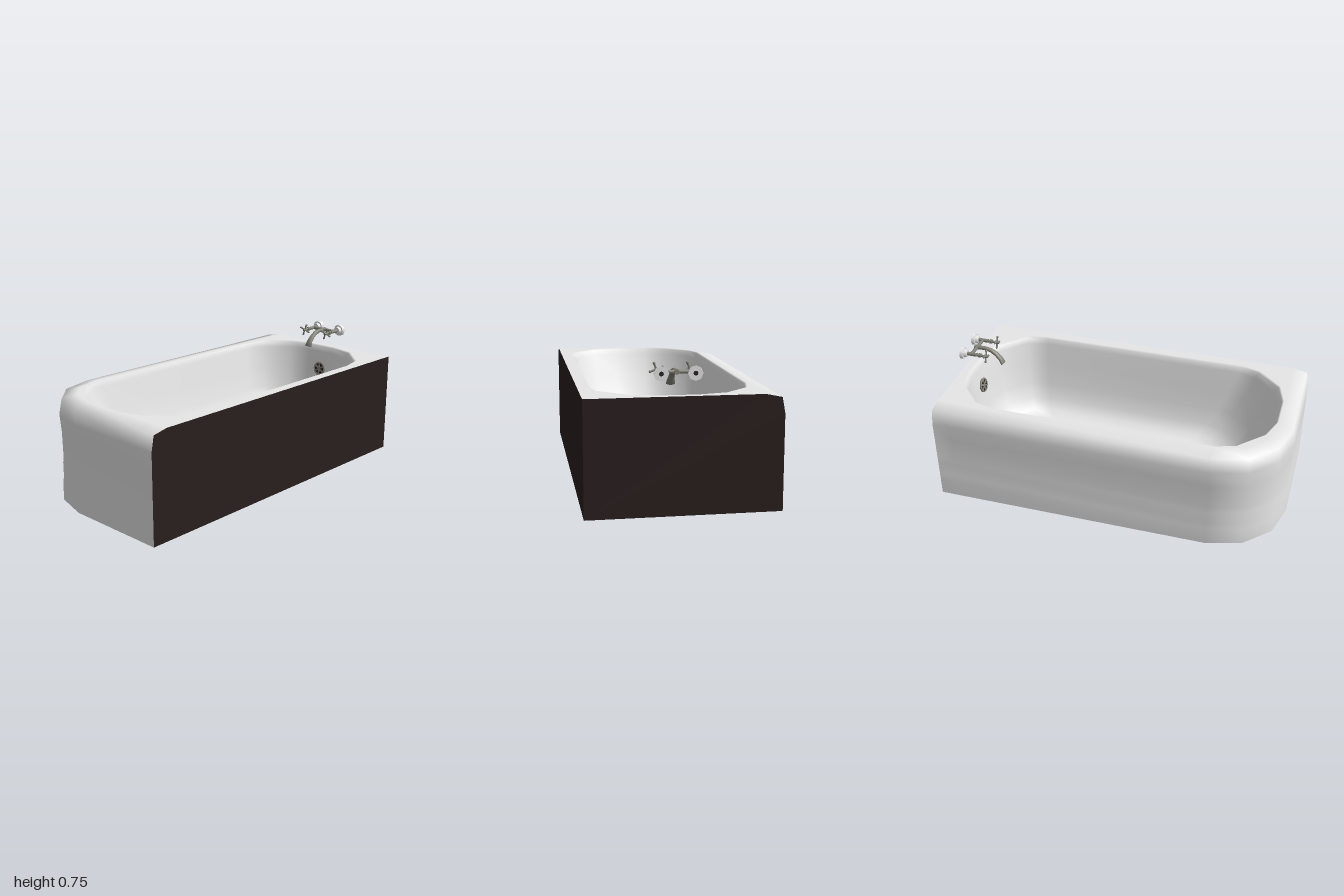
import * as THREE from 'three';

const mat = (name, color, side = THREE.FrontSide) =>
  Object.assign(new THREE.MeshStandardMaterial({ color, side }), { name });

// Smooth skin through rows of [x, y, z] points
function skin(rows, closed) {
  const n = rows[0].length, index = [];
  for (let r = 0; r < rows.length - 1; r++) {
    for (let i = 0; i < (closed ? n : n - 1); i++) {
      const a = r * n + i, b = r * n + (i + 1) % n;
      index.push(a, b, a + n, b, b + n, a + n);
    }
  }
  const g = new THREE.BufferGeometry();
  g.setAttribute('position', new THREE.Float32BufferAttribute(rows.flat(2), 3));
  g.setIndex(index);
  g.computeVertexNormals();
  return g;
}

// Make one row of a skin blend into the flat rim
function levelRow(g, row, n) {
  for (let i = 0; i < n; i++) g.attributes.normal.setXYZ(row * n + i, 0, 1, 0);
  return g;
}

const flat = (pts) => new THREE.Shape(pts.map(([x, y]) => new THREE.Vector2(x, y)));

export function createModel() {
  const model = new THREE.Group();
  const enamel = mat('white enamel', 0xf0f0f0, THREE.DoubleSide);
  const dark = mat('dark underside', 0x291f1e);
  const metal = mat('aged metal', 0x85857b, THREE.DoubleSide);
  const add = (name, geometry, material, parent = model) => {
    const m = new THREE.Mesh(geometry, material);
    m.name = name;
    parent.add(m);
    return m;
  };

  // Outer plan of the apron: x, z, outward normal, amount of recess
  const plan = [
    [1, -0.5, 0, -1, 0], [0.9, -0.5, 0, -1, 1], [-0.6, -0.5, 0, -1, 1],
    [-0.8, -0.445, -0.38, -0.92, 1], [-0.945, -0.3, -0.86, -0.5, 1],
    [-1, -0.1, -1, 0, 1], [-1, 0.4, -1, 0, 1], [-1, 0.5, -1, 0, 0],
  ];
  // Apron profile: y, inset, recess
  const profile = [
    [0, 0, 0], [0.1, 0, 0], [0.14, 0, 0.006], [0.22, 0, 0.006], [0.26, 0, 0.01], [0.4, 0, 0.008],
    [0.5, 0, 0], [0.583, 0.016, 0], [0.6, 0.1, 0],
  ];
  const rows = profile.map(([y, inset, recess]) => plan.map(([x, z, nx, nz, k]) =>
    [x - nx * (inset + recess * k), y, z - nz * (inset + recess * k)]));
  add('apron', levelRow(skin(rows, false), rows.length - 1, plan.length), enamel);

  // Basin plan and its shrinking rings: y, min x, max x, min z, max z
  const opening = [
    [0.64, -0.385], [0.02, -0.385], [-0.6, -0.385], [-0.71, -0.35], [-0.845, -0.21], [-0.89, -0.08],
    [-0.89, 0.13], [-0.85, 0.27], [-0.71, 0.4], [-0.6, 0.43], [0.02, 0.43], [0.64, 0.43],
    [0.77, 0.4], [0.915, 0.25], [0.95, 0.1], [0.95, -0.08], [0.915, -0.22], [0.78, -0.355],
  ];
  const basinRows = [
    [0.6, -0.895, 0.96, -0.392, 0.443], [0.593, -0.885, 0.948, -0.384, 0.431],
    [0.56, -0.872, 0.938, -0.376, 0.421], [0.43, -0.81, 0.92, -0.353, 0.398],
    [0.3, -0.74, 0.9, -0.328, 0.372], [0.2, -0.67, 0.875, -0.298, 0.343],
    [0.145, -0.6, 0.835, -0.255, 0.3], [0.12, -0.52, 0.775, -0.2, 0.245],
    [0.118, 0.1, 0.1, 0.025, 0.025],
  ].map(([y, x0, x1, z0, z1]) => opening.map(([x, z]) => [
    x0 + (x + 0.89) / 1.84 * (x1 - x0), y, z0 + (z + 0.385) / 0.815 * (z1 - z0),
  ]));
  add('basin', levelRow(skin(basinRows, true), 0, opening.length), enamel);

  // Flat rim around the basin
  const rimShape = flat([...rows.at(-1).map(([x, , z]) => [x, -z]), [1, -0.5]]);
  rimShape.holes.push(new THREE.Path(basinRows[0].map(([x, , z]) => new THREE.Vector2(x, -z))));
  add('rim', new THREE.ShapeGeometry(rimShape).rotateX(-Math.PI / 2).translate(0, 0.6, 0), enamel);

  // Dark panels that stand against walls and floor
  const edge = profile.slice(6);
  add('frontPanel', new THREE.ShapeGeometry(flat([[-1, 0], [1, 0], [1, 0.6],
    ...edge.map(([y, inset]) => [-1 + inset, y]).reverse()])).translate(0, 0, 0.5), dark);
  add('sidePanel', new THREE.ShapeGeometry(flat([[-0.5, 0], [0.5, 0],
    ...edge.map(([y, inset]) => [0.5 - inset, y]), [-0.5, 0.6]]))
    .rotateY(Math.PI / 2).translate(1, 0, 0), dark);
  add('underside', new THREE.ShapeGeometry(flat([...plan.map(([x, z]) => [x, z]), [1, 0.5]]))
    .rotateX(Math.PI / 2), dark);

  // Floor drain
  add('drain', new THREE.CylinderGeometry(0.043, 0.043, 0.008, 16), metal).position.set(0.7, 0.123, 0.03);

  // Overflow plate with a spoked cover
  const overflow = new THREE.Group();
  overflow.name = 'overflow';
  overflow.position.set(0.917, 0.45, 0.025);
  overflow.rotation.z = -0.14;
  model.add(overflow);
  add('overflowPlate', new THREE.CylinderGeometry(0.038, 0.038, 0.008, 16).rotateZ(Math.PI / 2), dark, overflow);
  add('overflowRing', new THREE.TorusGeometry(0.039, 0.007, 6, 16).rotateY(Math.PI / 2), metal, overflow);
  for (let i = 0; i < 3; i++) {
    add('overflowSpoke', new THREE.BoxGeometry(0.014, 0.076, 0.01), metal, overflow).rotation.x = i * Math.PI / 3;
  }

  // Taps: wall flange, stem and cross handle
  const faucet = new THREE.Group();
  faucet.name = 'faucet';
  faucet.position.set(0, 0.711, 0.035);
  model.add(faucet);
  const rod = (name, x0, x1, r0, r1, material, parent, sides = 8) =>
    add(name, new THREE.CylinderGeometry(r1, r0, x1 - x0, sides).rotateZ(-Math.PI / 2)
      .translate((x0 + x1) / 2, 0, 0), material, parent);
  for (const s of [-1, 1]) {
    const tap = new THREE.Group();
    tap.name = s > 0 ? 'frontTap' : 'backTap';
    tap.position.z = s * 0.084;
    faucet.add(tap);
    rod('flangeBase', 0.98, 0.999, 0.035, 0.038, enamel, tap);
    rod('flangeCollar', 0.962, 0.98, 0.022, 0.026, enamel, tap);
    rod('pipeCore', 0.99, 1, 0.012, 0.012, dark, tap);
    rod('stem', 0.9, 0.965, 0.011, 0.011, metal, tap);
    rod('stemNeck', 0.845, 0.9, 0.006, 0.008, metal, tap);
    rod('valveNut', 0.875, 0.892, 0.013, 0.013, metal, tap, 6);
    rod('handleHub', 0.832, 0.856, 0.008, 0.01, metal, tap);
    for (let i = 0; i < 4; i++) {
      const arm = new THREE.Group();
      arm.name = 'handleArm';
      arm.position.x = 0.845;
      arm.rotation.x = 0.35 + i * Math.PI / 2;
      tap.add(arm);
      add('spoke', new THREE.CylinderGeometry(0.006, 0.004, 0.033, 6).translate(0, 0.0165, 0), metal, arm);
      add('knob', new THREE.SphereGeometry(0.007, 8, 6).translate(0, 0.033, 0), metal, arm);
    }
  }
  add('crossPipe', new THREE.CylinderGeometry(0.01, 0.01, 0.168, 8).rotateX(Math.PI / 2)
    .translate(0.938, 0, 0), metal, faucet);
  rod('spoutJoint', 0.922, 0.952, 0.014, 0.014, metal, faucet);

  // Curved spout flaring to the mouth: x, y, half width, half height
  const spout = [
    [0.94, 0, 0.012, 0.012], [0.885, 0, 0.012, 0.012], [0.85, -0.007, 0.013, 0.013],
    [0.817, -0.028, 0.016, 0.013], [0.792, -0.055, 0.019, 0.013], [0.778, -0.084, 0.024, 0.013],
    [0.778, -0.084, 0.001, 0.001],
  ];
  add('spout', skin(spout.map(([x, y, w, h], k) => {
    const a = spout[Math.max(0, k - 1)], b = spout[Math.min(5, k + 1)];
    const t = Math.atan2(b[1] - a[1], b[0] - a[0]);
    return Array.from({ length: 10 }, (_, i) => {
      const u = -i / 10 * Math.PI * 2, c = Math.cos(u) * h;
      return [x - Math.sin(t) * c, y + Math.cos(t) * c, Math.sin(u) * w];
    });
  }), true), metal, faucet);

  return model;
}
